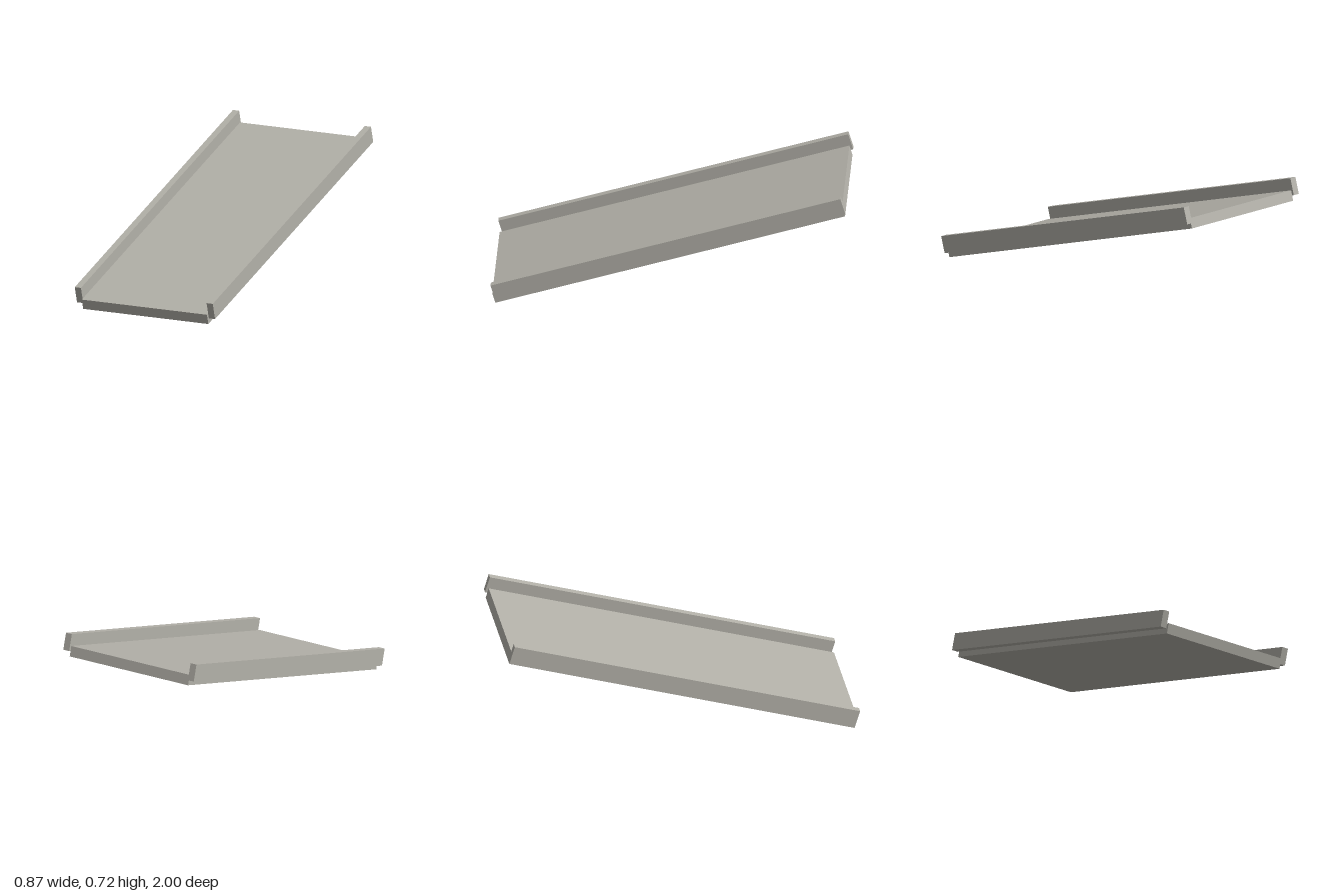
import * as THREE from 'three';

export function createModel() {
  const model = new THREE.Group();
  model.name = 'ramp';
  const concrete = new THREE.MeshStandardMaterial({ color: 0xb3b1a9 });
  concrete.name = 'warm grey';

  const slope = 0.292; // rises towards the back
  const length = 2.057;

  function slab(name, width, height, x, y, z) {
    const mesh = new THREE.Mesh(new THREE.BoxGeometry(width, height, length), concrete);
    mesh.name = name;
    mesh.position.set(x, y, z);
    mesh.rotation.x = slope;
    model.add(mesh);
  }

  // Sloping deck
  slab('deck', 0.789, 0.06, 0, 0.325, -0.002);

  // Side rails, set slightly clear of the deck edges
  for (const side of [-1, 1]) {
    slab(side > 0 ? 'leftRail' : 'rightRail', 0.039, 0.098, side * 0.4155, 0.376, 0);
  }

  return model;
}
